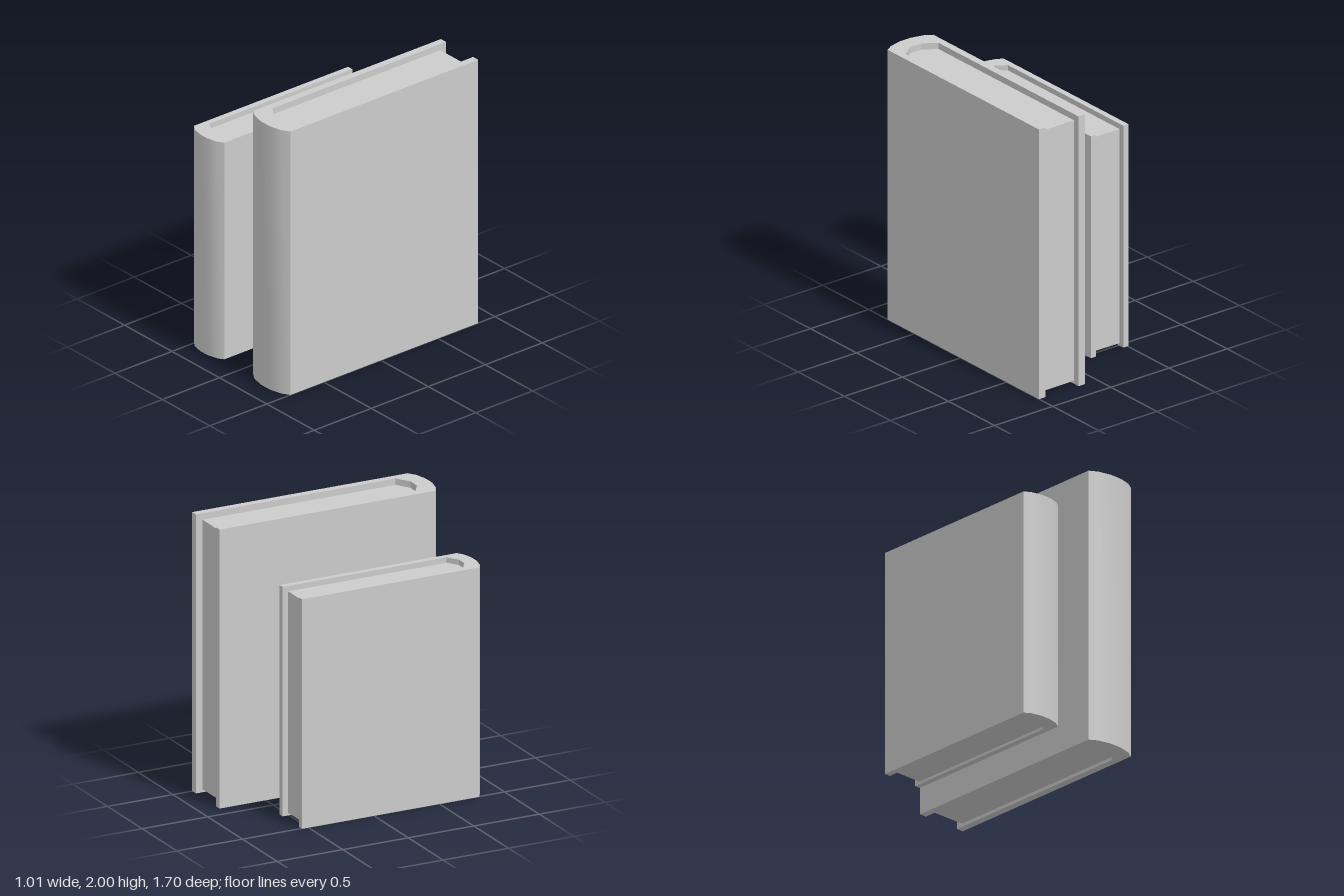
import * as THREE from 'three';
import { toCreasedNormals } from 'three/addons/utils/BufferGeometryUtils.js';

const material = new THREE.MeshStandardMaterial({ color: 0xcccccc });

// Extrude a plan outline of [x, z] points upward from y0 to y1
function extrudePlan(name, points, y0, y1) {
  const shape = new THREE.Shape(points.map(([x, z]) => new THREE.Vector2(x, -z)));
  const geometry = new THREE.ExtrudeGeometry(shape, { depth: y1 - y0, bevelEnabled: false });
  geometry.rotateX(-Math.PI / 2).translate(0, y0, 0);
  const mesh = new THREE.Mesh(toCreasedNormals(geometry, 0.52), material);
  mesh.name = name;
  return mesh;
}

// Complete a half outline (x >= 0) with its mirror image
const mirror = (half) => [...half, ...half.map(([x, z]) => [-x, z]).reverse()];

function createBook({ name, x, height, back, half, inner, flat, shoulder, innerShoulder, innerFront, lip }) {
  const front = 0.85;
  const book = new THREE.Group();
  book.name = name;
  book.position.x = x;

  // Inside of the spine, shared by the cover and the page block
  const hollow = [[inner, innerShoulder], [flat, innerFront]];

  // Cover: two boards joined by a rounded spine, open at the back
  const outside = [[half, back], [half, shoulder], [(half + flat) * 0.5 + flat * 0.42, front - (front - shoulder) * 0.4], [flat, front]];
  const inside = [...hollow].reverse().concat([[inner, back]]);
  const outline = [
    ...outside,
    ...outside.map(([px, z]) => [-px, z]).reverse(),
    ...inside.map(([px, z]) => [-px, z]).reverse(),
    ...inside,
  ];
  book.add(extrudePlan('cover', outline, 0, height));

  // Pages: set back from the cover's top, bottom and rear edges
  book.add(extrudePlan('pages', mirror([[inner, back + lip], ...hollow]), lip * 0.45, height - lip * 0.92));
  return book;
}

export function createModel() {
  const model = new THREE.Group();
  model.name = 'books';
  model.add(
    createBook({
      name: 'tallBook', x: 0.304, height: 2, back: -0.853, half: 0.197, inner: 0.143, flat: 0.047,
      shoulder: 0.793, innerShoulder: 0.67, innerFront: 0.732, lip: 0.05,
    }),
    createBook({
      name: 'shortBook', x: -0.346, height: 1.645, back: -0.55, half: 0.161, inner: 0.117, flat: 0.039,
      shoulder: 0.803, innerShoulder: 0.702, innerFront: 0.754, lip: 0.042,
    }),
  );
  return model;
}
